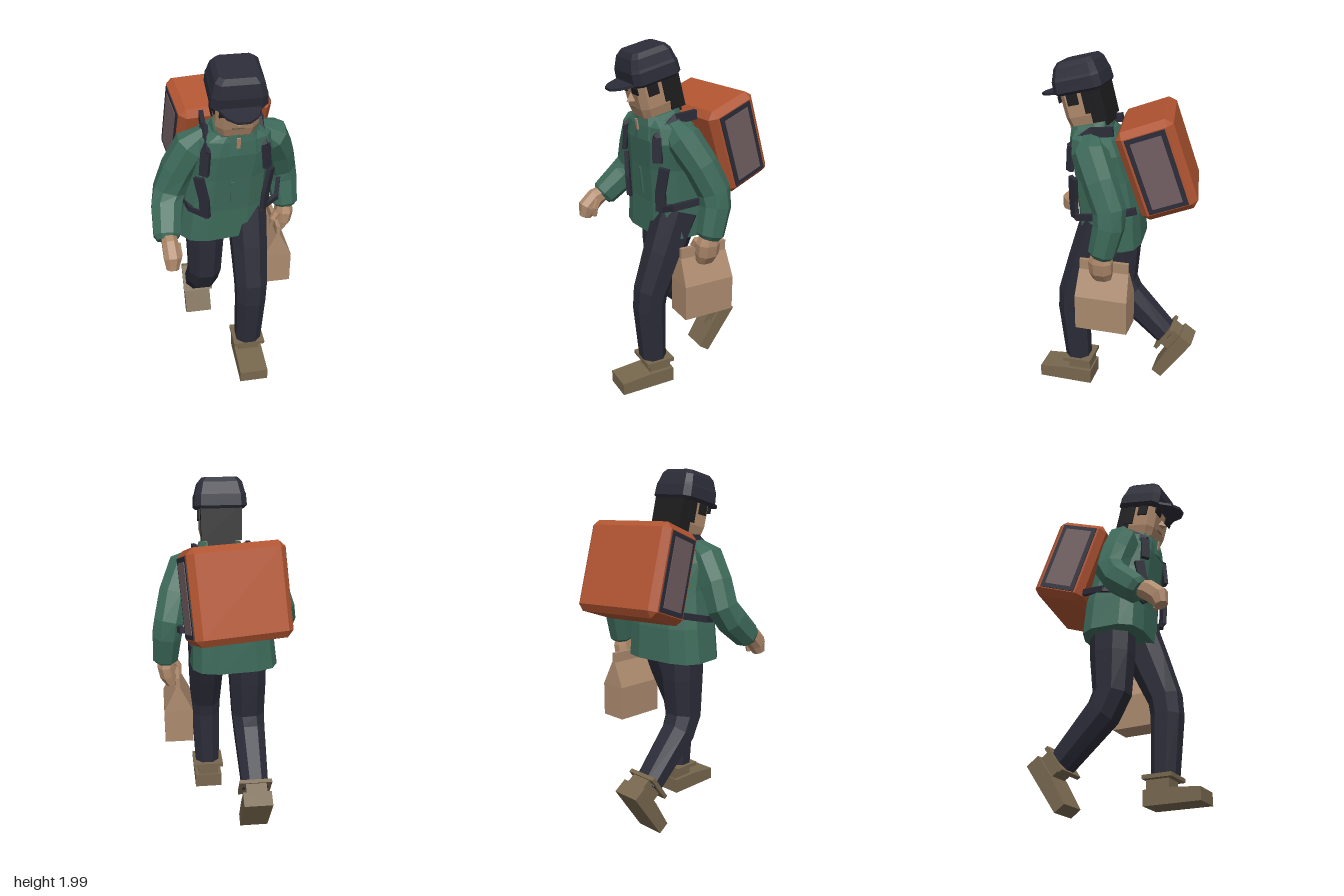
import * as THREE from 'three';
import { ConvexGeometry } from 'three/addons/geometries/ConvexGeometry.js';

const V = (x, y, z) => new THREE.Vector3(x, y, z);
const mat = (name, color) => {
  const m = new THREE.MeshStandardMaterial({ color, flatShading: true });
  m.name = name;
  return m;
};

export function createModel() {
  const green = mat('jacket green', 0x3d6a5a);
  const navy = mat('dark navy', 0x2b2c38);
  const skin = mat('skin', 0xb08a6c);
  const black = mat('hair black', 0x1d1d1f);
  const orange = mat('box orange', 0xb05431);
  const panelGrey = mat('panel mauve', 0x725f62);
  const paper = mat('paper tan', 0xab8a6e);
  const boot = mat('boot brown', 0x77674e);

  const root = new THREE.Group();
  const add = (parent, name, geo, material, x = 0, y = 0, z = 0) => {
    const m = new THREE.Mesh(geo, material);
    m.name = name;
    m.position.set(x, y, z);
    parent.add(m);
    return m;
  };
  const box = (parent, name, material, w, h, d, x, y, z) =>
    add(parent, name, new THREE.BoxGeometry(w, h, d), material, x, y, z);
  const group = (name, x, y, z) => {
    const g = new THREE.Group();
    g.name = name;
    g.position.set(x, y, z);
    root.add(g);
    return g;
  };

  // Closed skin over a row of equal-sized point rings
  function loft(rings) {
    const n = rings[0].length, idx = [], last = (rings.length - 1) * n;
    for (let i = 0; i < rings.length - 1; i++) for (let j = 0; j < n; j++) {
      const a = i * n + j, b = i * n + (j + 1) % n;
      idx.push(a, b, b + n, a, b + n, a + n);
    }
    for (let j = 1; j < n - 1; j++) idx.push(0, j + 1, j, last, last + j, last + j + 1);
    const g = new THREE.BufferGeometry().setFromPoints(rings.flat());
    g.setIndex(idx);
    g.computeVertexNormals();
    return g;
  }
  // Ring around c; power below 1 makes it boxier
  function ring(c, u, w, n, power) {
    return Array.from({ length: n }, (_, j) => {
      const a = (j + 0.5) / n * Math.PI * 2;
      const f = v => Math.sign(v) * Math.abs(v) ** power;
      return c.clone().addScaledVector(u, f(Math.cos(a))).addScaledVector(w, f(Math.sin(a)));
    });
  }
  // Upright body from rows of [y, centre x, centre z, half width, half depth, pitch]
  const body = (rows, n, power, yaw = 0) => loft(rows.map(([y, x, z, hw, hd, pitch = 0]) => {
    const e = new THREE.Euler(pitch, yaw, 0, 'YXZ');
    return ring(V(x, y, z), V(hw, 0, 0).applyEuler(e), V(0, 0, -hd).applyEuler(e), n, power);
  }));
  // Limb along rows of [x, y, z, radius across, radius deep]
  function limb(rows, n = 8) {
    const p = rows.map(r => V(r[0], r[1], r[2]));
    return loft(rows.map((r, i) => {
      const t = p[Math.min(i + 1, p.length - 1)].clone().sub(p[Math.max(i - 1, 0)]).normalize();
      const w = t.clone().cross(V(1, 0, 0)).normalize();
      const u = w.clone().cross(t);
      return ring(p[i], u.multiplyScalar(r[3]), w.multiplyScalar(r[4] ?? r[3]), n, 0.9);
    }));
  }
  function chamferBox(w, h, d, c) {
    const pts = [];
    for (const x of [-1, 1]) for (const y of [-1, 1]) for (const z of [-1, 1]) for (let k = 0; k < 3; k++)
      pts.push(V(x * (w / 2 - (k === 0 ? 0 : c)), y * (h / 2 - (k === 1 ? 0 : c)), z * (d / 2 - (k === 2 ? 0 : c))));
    return new ConvexGeometry(pts);
  }

  // Jacket
  add(root, 'jacketBody', body([
    [0.96, -0.03, 0.04, 0.25, 0.178], [1.15, -0.02, 0.045, 0.235, 0.175], [1.35, 0, 0.07, 0.215, 0.165],
    [1.5, 0.02, 0.1, 0.225, 0.15], [1.58, 0.03, 0.115, 0.19, 0.13], [1.615, 0.03, 0.125, 0.13, 0.11],
  ], 12, 0.6, 0.1), green);
  add(root, 'collar', body([
    [1.53, 0.035, 0.14, 0.14, 0.12, 0.2], [1.6, 0.035, 0.14, 0.135, 0.115, 0.2], [1.645, 0.033, 0.142, 0.115, 0.108, 0.22],
  ], 10, 0.7), green);
  box(root, 'zipPull', paper, 0.02, 0.06, 0.008, 0.035, 1.58, 0.258).rotation.x = 0.15;
  box(root, 'zipFlap', green, 0.02, 0.15, 0.008, 0.01, 1.26, 0.228).rotation.x = 0.1;

  // Sleeves
  add(root, 'rightSleeve', limb([
    [-0.11, 1.58, 0.13, 0.05], [-0.19, 1.52, 0.135, 0.092], [-0.265, 1.39, 0.13, 0.09], [-0.315, 1.26, 0.13, 0.088],
    [-0.335, 1.19, 0.18, 0.086], [-0.35, 1.085, 0.3, 0.075], [-0.35, 1.07, 0.318, 0.055],
  ]), green);
  add(root, 'leftSleeve', limb([
    [0.15, 1.58, 0.11, 0.05], [0.235, 1.52, 0.09, 0.095], [0.295, 1.39, 0.02, 0.09], [0.33, 1.25, -0.04, 0.088],
    [0.345, 1.17, -0.04, 0.084], [0.358, 1.02, -0.005, 0.074], [0.358, 1.0, 0, 0.055],
  ]), green);

  // Hands
  add(root, 'rightHand', limb([
    [-0.345, 1.1, 0.29, 0.04], [-0.34, 1.07, 0.36, 0.045, 0.055], [-0.335, 1.02, 0.415, 0.048, 0.056], [-0.34, 0.965, 0.43, 0.035, 0.035],
  ]), skin);
  add(root, 'rightThumb', limb([[-0.305, 1.07, 0.36, 0.022], [-0.3, 1.02, 0.385, 0.022], [-0.305, 0.97, 0.385, 0.015]], 6), skin);
  add(root, 'leftHand', limb([
    [0.355, 1.03, 0, 0.045], [0.355, 0.97, 0.005, 0.052, 0.068], [0.345, 0.91, 0.005, 0.05, 0.066], [0.325, 0.86, 0.005, 0.035, 0.055],
  ]), skin);
  add(root, 'leftThumb', limb([[0.31, 0.98, 0.045, 0.022], [0.285, 0.94, 0.05, 0.022], [0.28, 0.89, 0.045, 0.015]], 6), skin);

  // Trousers
  add(root, 'rightLeg', limb([
    [-0.11, 1.1, 0.03, 0.115, 0.13], [-0.115, 0.85, 0.03, 0.11, 0.125], [-0.12, 0.63, 0.03, 0.1, 0.105],
    [-0.125, 0.53, -0.02, 0.095, 0.098], [-0.13, 0.28, -0.27, 0.08, 0.075],
  ]), navy);
  add(root, 'leftLeg', limb([
    [0.115, 1.1, 0.06, 0.115, 0.13], [0.12, 0.86, 0.15, 0.105, 0.115], [0.12, 0.64, 0.235, 0.095, 0.095],
    [0.118, 0.54, 0.245, 0.09, 0.09], [0.112, 0.2, 0.225, 0.078, 0.075],
  ]), navy);

  // Boots, with the origin at the ankle cuff
  for (const [name, x, y, z, pitch] of [['leftBoot', 0.11, 0.2, 0.215, 0], ['rightBoot', -0.13, 0.289, -0.262, 0.96]]) {
    const g = group(name, x, y, z);
    g.rotation.x = pitch;
    box(g, 'bootCuff', boot, 0.185, 0.022, 0.168, 0, 0, 0);
    box(g, 'bootShaft', boot, 0.12, 0.1, 0.13, 0, -0.05, -0.01);
    add(g, 'bootFoot', new ConvexGeometry([-0.082, 0.082].flatMap(s => [
      V(s, -0.15, -0.085), V(s, -0.15, 0.235), V(s, -0.08, 0.235), V(s, -0.065, 0.06), V(s, -0.065, -0.085),
    ])), boot);
  }

  // Head, pitched forward
  const head = group('head', 0.03, 1.74, 0.17);
  head.rotation.x = 0.24;
  add(head, 'face', body([
    [-0.16, 0, -0.01, 0.08, 0.08], [-0.1, 0, 0.005, 0.1, 0.1], [-0.05, 0, 0.01, 0.113, 0.103], [0.11, 0, 0.01, 0.115, 0.106],
  ], 8, 0.45), skin);
  add(head, 'nose', new ConvexGeometry([
    V(0, 0.045, 0.105), V(-0.032, -0.008, 0.105), V(0.032, -0.008, 0.105), V(0, -0.005, 0.148),
  ]), skin);
  box(head, 'mouth', boot, 0.06, 0.008, 0.006, 0, -0.045, 0.112);
  for (const s of [-1, 1]) {
    box(head, 'eye', black, 0.068, 0.036, 0.008, s * 0.066, 0.055, 0.115);
    box(head, 'sideburn', black, 0.008, 0.08, 0.06, s * 0.115, 0.055, 0.035);
    box(head, 'sideLock', black, 0.02, 0.13, 0.05, s * 0.108, 0.025, -0.045);
  }
  box(head, 'hair', black, 0.22, 0.19, 0.08, 0, 0.0, -0.085);
  box(head, 'hairTips', black, 0.15, 0.04, 0.06, 0, -0.105, -0.085);

  // Cap and brim
  add(head, 'cap', body([
    [0.075, 0, -0.005, 0.13, 0.125], [0.09, 0, -0.005, 0.145, 0.138], [0.15, 0, -0.005, 0.141, 0.135],
    [0.165, 0, -0.005, 0.135, 0.13], [0.215, 0, -0.008, 0.122, 0.115], [0.24, 0, -0.01, 0.1, 0.095],
  ], 8, 0.3), navy);
  const brim = new THREE.Shape([[-0.11, 0.08], [-0.105, 0.13], [-0.075, 0.195], [-0.03, 0.23], [0.03, 0.23], [0.075, 0.195], [0.105, 0.13], [0.11, 0.08]]
    .map(([x, z]) => new THREE.Vector2(x, z)));
  add(head, 'brim', new THREE.ExtrudeGeometry(brim, { depth: 0.014, bevelEnabled: false }), navy, 0, 0.1, 0).rotation.x = Math.PI / 2;

  // Box backpack with framed side panels
  const pack = group('backpack', -0.012, 1.457, -0.222);
  pack.rotation.set(0.33, 0.165, -0.02, 'YXZ');
  add(pack, 'packBox', chamferBox(0.52, 0.5, 0.31, 0.035), orange);
  for (const s of [-1, 1]) {
    box(pack, 'panelFrame', navy, 0.008, 0.42, 0.215, s * 0.261, 0, 0);
    box(pack, 'sidePanel', panelGrey, 0.008, 0.37, 0.165, s * 0.264, 0, 0);
  }

  // Straps as flat bands from point to point
  function strap(name, pts, width) {
    for (let i = 0; i < pts.length - 1; i++) {
      const a = pts[i], b = pts[i + 1], mid = a.clone().add(b).multiplyScalar(0.5);
      const dir = b.clone().sub(a), len = dir.length();
      dir.normalize();
      const out = V(mid.x - 0.02, 0, mid.z - 0.05).addScaledVector(dir, -V(mid.x - 0.02, 0, mid.z - 0.05).dot(dir)).normalize();
      const m = box(root, name, navy, width, len + 0.012, 0.024, mid.x, mid.y, mid.z);
      m.quaternion.setFromRotationMatrix(new THREE.Matrix4().makeBasis(dir.clone().cross(out), dir, out));
    }
  }
  for (const left of [false, true]) {
    const at = (x, y, z) => left ? V(0.055 - x, y, z - 0.03) : V(x, y, z);
    strap('shoulderStrap', [at(-0.12, 1.63, 0.02), at(-0.125, 1.62, 0.13), at(-0.13, 1.53, 0.245), at(-0.14, 1.41, 0.25)], 0.05);
    strap('chestStrap', [at(-0.165, 1.37, 0.225), at(-0.14, 1.24, 0.235), at(-0.135, 1.14, 0.23)], 0.055);
    strap('waistStrap', [at(-0.125, 1.14, 0.23), at(-0.21, 1.17, 0.19), at(-0.255, 1.2, 0.05), at(-0.21, 1.24, -0.13)], 0.035);
  }

  // Paper bag: box below, folded to a flat ridge above
  add(root, 'paperBag', new ConvexGeometry([-1, 1].flatMap(z => [-1, 1].flatMap(x => [
    V(0.295 + x * 0.08, 0.55, 0.003 + z * 0.147), V(0.295 + x * 0.08, 0.745, 0.003 + z * 0.147), V(0.295 + x * 0.012, 0.885, 0.003 + z * 0.14),
  ]))), paper);
  box(root, 'bagFold', paper, 0.022, 0.065, 0.275, 0.295, 0.91, 0.003);

  return root;
}
